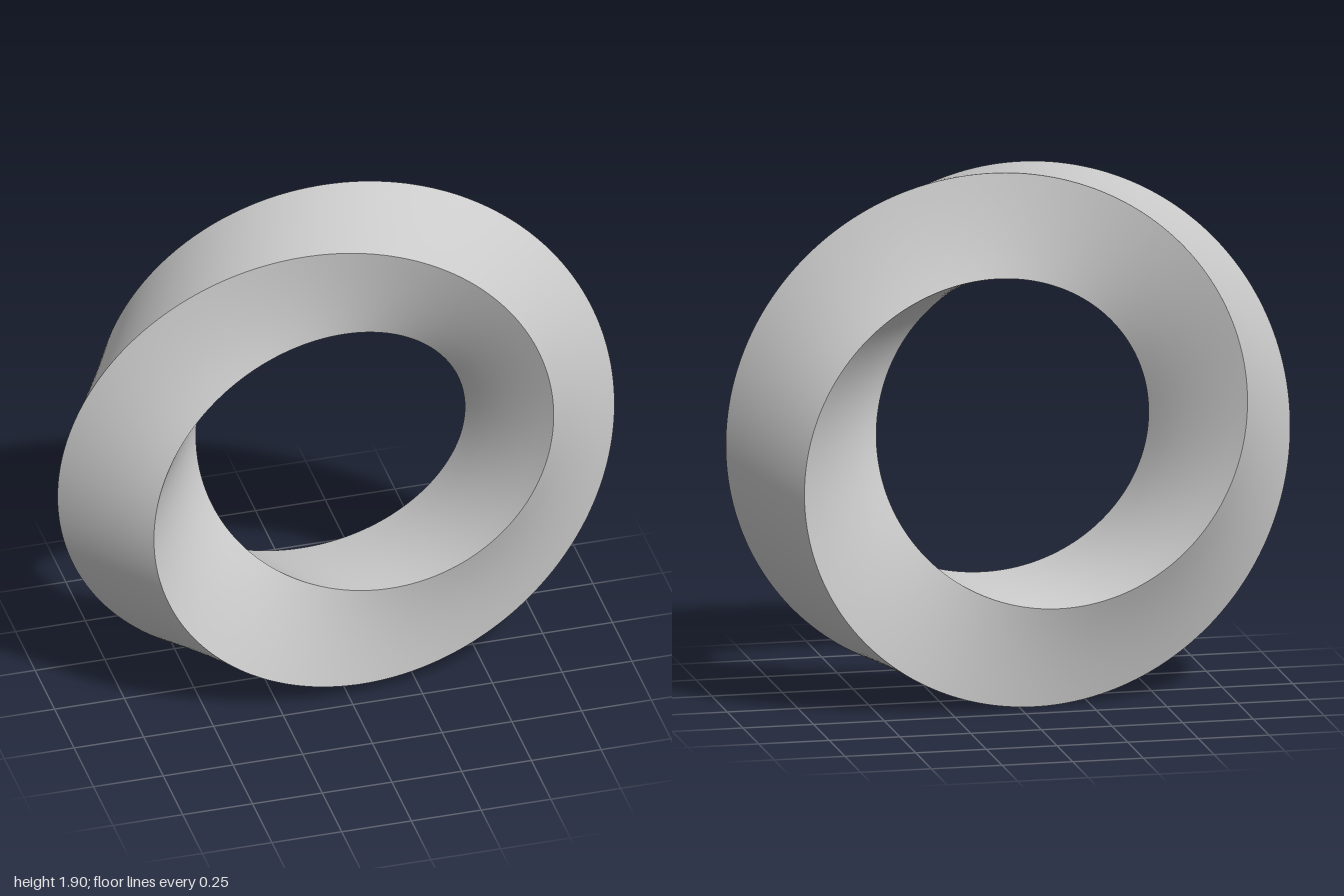
import * as THREE from 'three';

const RING = 0.739;      // radius of the centre line
const CORNER = 0.261;    // half diagonal of the square section
const START = THREE.MathUtils.degToRad(7.5); // section angle at the +x side
const STEPS = 480;       // segments over two laps
const ACROSS = 6;        // segments across one face
const CENTRE_Y = 0.953;

// Point on the ring; the square makes half a turn per lap.
function corner(theta, quarter) {
  const a = START - theta / 2 + quarter * Math.PI / 2;
  const r = RING + CORNER * Math.cos(a);
  return new THREE.Vector3(r * Math.cos(theta), r * Math.sin(theta), CORNER * Math.sin(a));
}

// One continuous face: it closes on itself only after two laps.
function ribbon(quarter) {
  const positions = [], index = [];
  const row = ACROSS + 1;
  for (let i = 0; i < STEPS; i++) {
    const theta = (i / STEPS) * Math.PI * 4;
    const a = corner(theta, quarter), b = corner(theta, quarter + 1);
    for (let j = 0; j <= ACROSS; j++) {
      positions.push(...a.clone().lerp(b, j / ACROSS).toArray());
    }
    const next = (i + 1) % STEPS;
    for (let j = 0; j < ACROSS; j++) {
      const p = i * row + j, q = next * row + j;
      index.push(p, q, q + 1, p, q + 1, p + 1);
    }
  }
  const geometry = new THREE.BufferGeometry();
  geometry.setAttribute('position', new THREE.Float32BufferAttribute(positions, 3));
  geometry.setIndex(index);
  geometry.computeVertexNormals();
  return geometry;
}

export function createModel() {
  const model = new THREE.Group();
  model.name = 'twistedSquareRing';
  const material = new THREE.MeshStandardMaterial({ color: 0xcccccc });

  // Two interleaved faces with sharp edges between them
  ['firstFace', 'secondFace'].forEach((name, quarter) => {
    const mesh = new THREE.Mesh(ribbon(quarter), material);
    mesh.name = name;
    mesh.position.y = CENTRE_Y;
    model.add(mesh);
  });
  return model;
}
